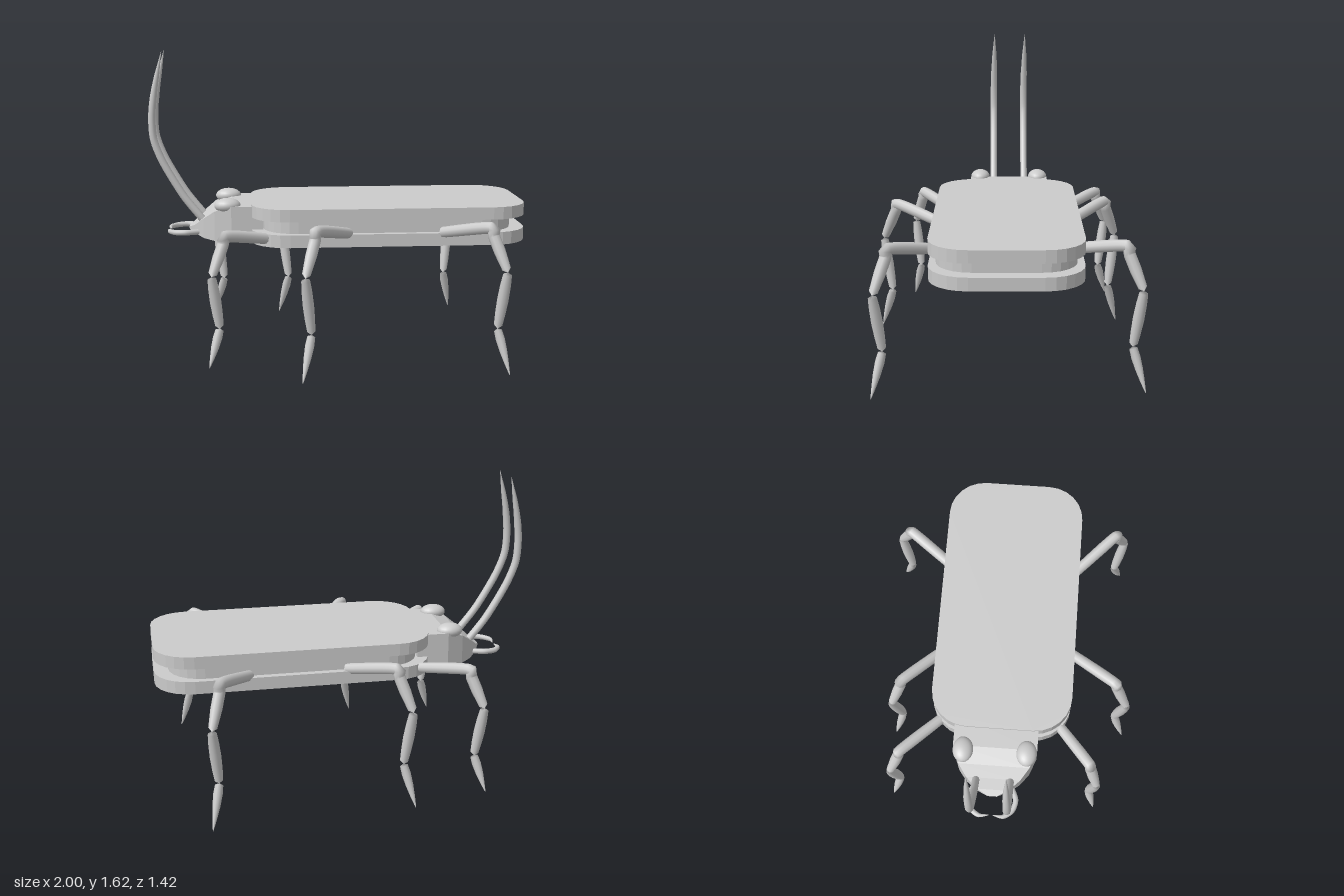
import * as THREE from 'three';

const material = new THREE.MeshStandardMaterial({ color: 0xcccccc, side: THREE.DoubleSide });
const flatMaterial = new THREE.MeshStandardMaterial({ color: 0xcccccc, side: THREE.DoubleSide, flatShading: true });

function add(parent, name, geometry, mat = material) {
  const mesh = new THREE.Mesh(geometry, mat);
  mesh.name = name;
  parent.add(mesh);
  return mesh;
}

// Round tube along points whose radius follows an evenly spaced list; ends are closed
function taperedTube(points, radii, rings = 24, sides = 10) {
  const curve = new THREE.CatmullRomCurve3(points.map(p => new THREE.Vector3(...p)), false, 'catmullrom', 0.4);
  const geo = new THREE.TubeGeometry(curve, rings, 1, sides);
  const pos = geo.attributes.position;
  const v = new THREE.Vector3();
  for (let i = 0; i <= rings; i++) {
    const u = i / rings;
    const t = u * (radii.length - 1);
    const k = Math.min(Math.floor(t), radii.length - 2);
    const r = i === 0 || i === rings ? 0.001 : THREE.MathUtils.lerp(radii[k], radii[k + 1], t - k);
    const centre = curve.getPointAt(u);
    for (let j = 0; j <= sides; j++) {
      const n = i * (sides + 1) + j;
      v.fromBufferAttribute(pos, n).sub(centre).multiplyScalar(r).add(centre);
      pos.setXYZ(n, v.x, v.y, v.z);
    }
  }
  return geo;
}

// Slab with faceted rounded corners, standing on y0
function plate(x0, x1, z0, z1, y0, y1, r) {
  const s = new THREE.Shape();
  const q = Math.PI / 2;
  s.absarc(x1 - r, -z0 - r, r, 0, q);
  s.absarc(x0 + r, -z0 - r, r, q, 2 * q);
  s.absarc(x0 + r, -z1 + r, r, 2 * q, 3 * q);
  s.absarc(x1 - r, -z1 + r, r, 3 * q, 4 * q);
  const geo = new THREE.ExtrudeGeometry(s, { depth: y1 - y0, bevelEnabled: false, curveSegments: 3 });
  return geo.rotateX(-Math.PI / 2).translate(0, y0, 0);
}

// Wedge built from rectangular sections [x, half width, bottom, top]
function headGeometry(sections, zc) {
  const pos = [], index = [];
  for (const [x, w, b, t] of sections) pos.push(x, b, zc + w, x, t, zc + w, x, t, zc - w, x, b, zc - w);
  const last = (sections.length - 1) * 4;
  for (let i = 0; i < last; i += 4) {
    for (let j = 0; j < 4; j++) {
      const a = i + j, b = i + (j + 1) % 4;
      index.push(a, b, a + 4, b, b + 4, a + 4);
    }
  }
  index.push(0, 2, 1, 0, 3, 2, last, last + 1, last + 2, last, last + 2, last + 3);
  const geo = new THREE.BufferGeometry();
  geo.setAttribute('position', new THREE.Float32BufferAttribute(pos, 3));
  geo.setIndex(index);
  geo.computeVertexNormals();
  return geo;
}

// Leg bending in the vertical plane from hip [x, z] to tip [x, z]
function makeLeg(name, hip, tip, heights) {
  const reach = [0, 0.7, 0.94, 0.82, 1];
  const [h, knee, shin, ankle, toe] = reach.map((f, i) => [
    THREE.MathUtils.lerp(hip[0], tip[0], f), heights[i], THREE.MathUtils.lerp(hip[1], tip[1], f)]);
  const bend = knee.map((k, i) => k * 0.8 + shin[i] * 0.2);
  const leg = new THREE.Group();
  leg.name = name;
  add(leg, 'upperLeg', taperedTube([h, knee, bend, shin], [0.028, 0.03, 0.031, 0.03, 0.03, 0.021], 30));
  add(leg, 'lowerLeg', taperedTube([shin, ankle], [0.021, 0.027, 0.029, 0.026, 0.02], 16));
  add(leg, 'foot', taperedTube([ankle, toe], [0.02, 0.024, 0.02, 0.012, 0.002], 16));
  return leg;
}

export function createModel() {
  const group = new THREE.Group();

  // Body of three stacked slabs
  add(group, 'bottomShell', plate(-0.465, 1, -0.39, 0.37, 0.625, 0.692, 0.2), flatMaterial);
  add(group, 'bodyCore', plate(-0.4, 0.925, -0.355, 0.335, 0.69, 0.762, 0.18), flatMaterial);
  add(group, 'topShell', plate(-0.465, 1, -0.39, 0.37, 0.76, 0.825, 0.2), flatMaterial);

  // Head
  const mid = -0.025;
  add(group, 'head', headGeometry([
    [-0.4, 0.225, 0.626, 0.815], [-0.57, 0.225, 0.626, 0.815], [-0.66, 0.19, 0.627, 0.785],
    [-0.72, 0.145, 0.635, 0.74], [-0.77, 0.085, 0.652, 0.695], [-0.8, 0.025, 0.664, 0.676]], mid), flatMaterial);

  // Eyes, antennae and hooked mandibles on both sides
  for (const s of [1, -1]) {
    const eye = add(group, 'eye', new THREE.SphereGeometry(1, 20, 14));
    eye.scale.set(0.07, 0.04, 0.055);
    eye.position.set(-0.59, 0.815, mid + s * 0.17);

    const z = mid + s * 0.092;
    add(group, 'antenna', taperedTube([
      [-0.71, 0.71, z], [-0.82, 0.85, z], [-0.925, 1.03, z], [-0.975, 1.16, z], [-0.982, 1.29, z],
      [-0.965, 1.43, z - 0.003], [-0.925, 1.625, z - 0.006]],
      [0.02, 0.02, 0.02, 0.02, 0.02, 0.02, 0.019, 0.013, 0.001], 48));

    add(group, 'mandible', taperedTube([
      [-0.74, 0.66, mid + s * 0.1], [-0.81, 0.662, mid + s * 0.128], [-0.87, 0.66, mid + s * 0.112],
      [-0.905, 0.66, mid + s * 0.065], [-0.9, 0.66, mid + s * 0.01]], [0.015, 0.015, 0.015, 0.013, 0.002], 24));
  }

  // Six legs
  const low = [0.665, 0.715, 0.52, 0.245, 0.05];
  const high = [0.69, 0.755, 0.54, 0.24, 0.01];
  group.add(
    makeLeg('frontLeftLeg', [-0.38, 0.31], [-0.685, 0.555], low),
    makeLeg('middleLeftLeg', [0.05, 0.33], [-0.22, 0.71], high),
    makeLeg('rearLeftLeg', [0.52, 0.34], [0.835, 0.66], high),
    makeLeg('frontRightLeg', [-0.38, -0.33], [-0.685, -0.625], low),
    makeLeg('middleRightLeg', [0.02, -0.34], [-0.3, -0.655], high),
    makeLeg('rearRightLeg', [0.51, -0.34], [0.76, -0.705], high));

  return group;
}
